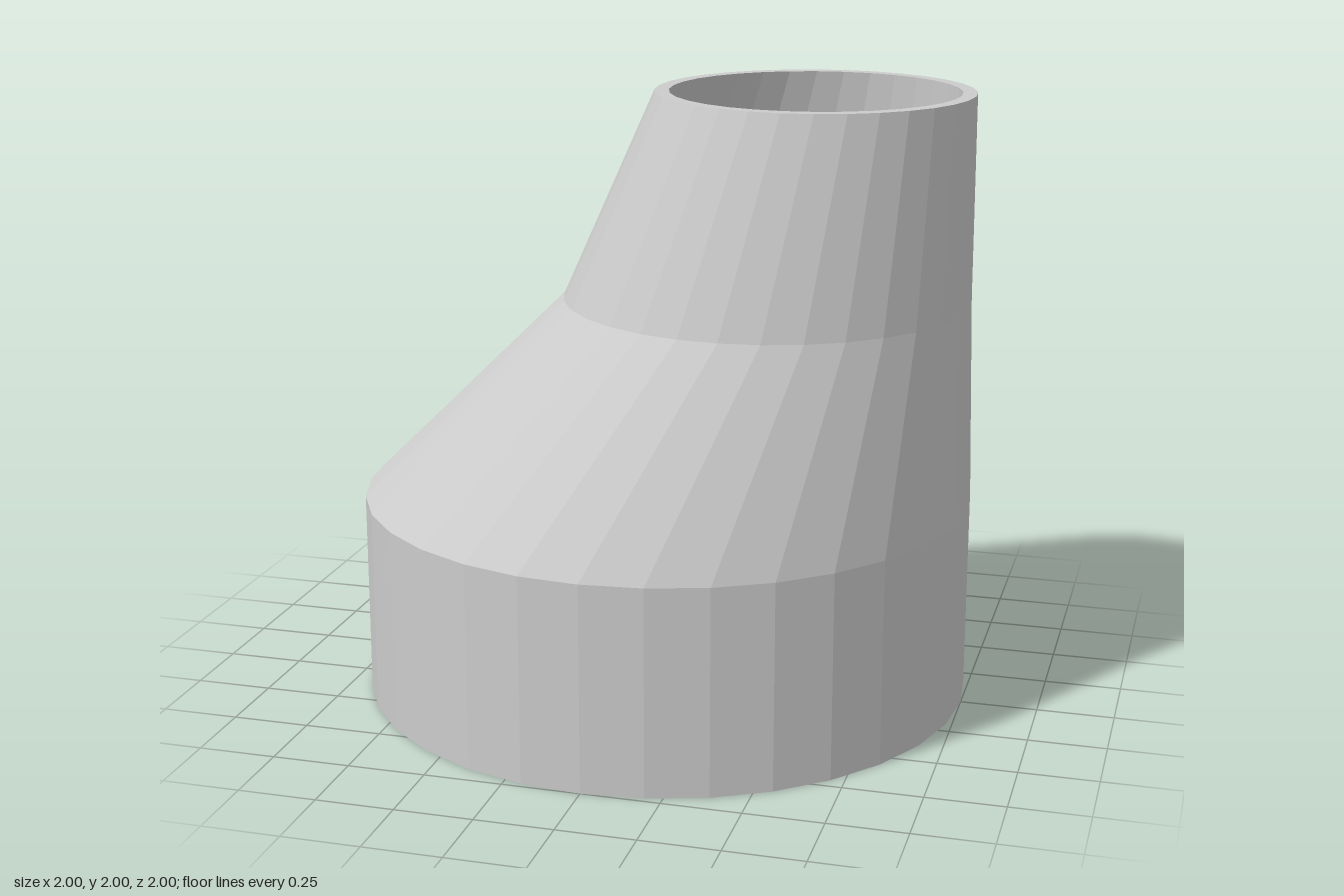
import * as THREE from 'three';

// Ring stations from bottom to top: height, sideways offset, outer radius
const stations = [
  { y: 0, offset: 0, radius: 1 },
  { y: 0.667, offset: 0, radius: 1 },
  { y: 1.333, offset: 0.33, radius: 0.655 },
  { y: 2, offset: 0.478, radius: 0.505 },
];
const BORE = 0.91; // inner radius as a share of the outer one
const SIDES = 32;

export function createModel() {
  const group = new THREE.Group();
  group.name = 'eccentricReducer';

  // Closed wall profile: up the outside, over the rim, down the bore, back to the start
  const outer = stations.map((s) => new THREE.Vector2(s.radius, s.y));
  const inner = stations.map((s) => new THREE.Vector2(s.radius * BORE, s.y)).reverse();
  const geometry = new THREE.LatheGeometry([...outer, ...inner, outer[0].clone()], SIDES);

  // Slide each ring sideways so one flank stays almost upright
  const pos = geometry.attributes.position;
  for (let i = 0; i < pos.count; i++) {
    const station = stations.find((s) => Math.abs(s.y - pos.getY(i)) < 0.01);
    pos.setX(i, pos.getX(i) + station.offset);
  }

  // Faceted shading
  const flat = geometry.toNonIndexed();
  flat.computeVertexNormals();
  const material = new THREE.MeshStandardMaterial({ color: 0xcccccc, flatShading: true });
  const wall = new THREE.Mesh(flat, material);
  wall.name = 'pipeWall';
  group.add(wall);
  return group;
}
